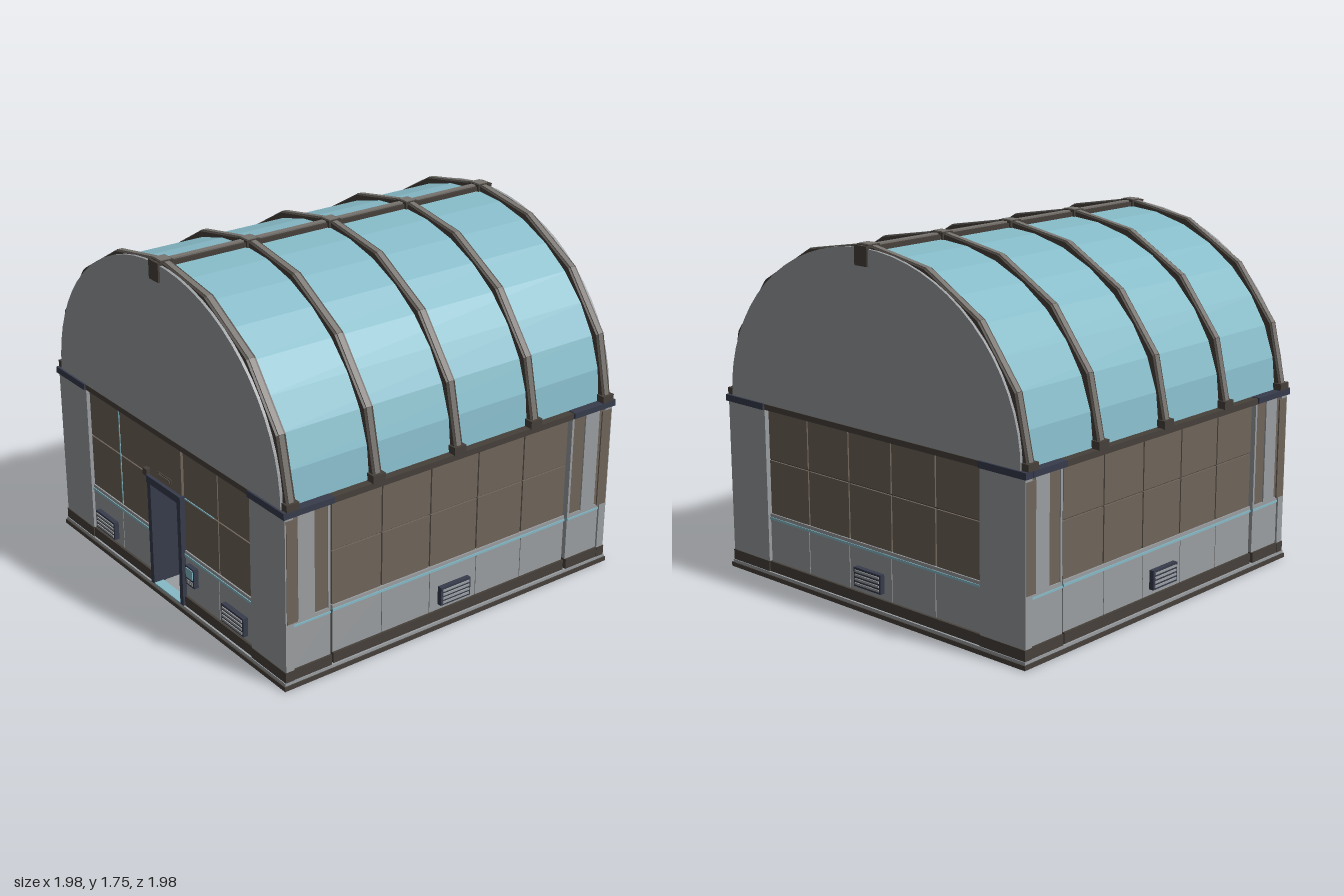
import * as THREE from 'three';

const mat = (name, color) => {
  const m = new THREE.MeshStandardMaterial({ color });
  m.name = name;
  return m;
};

export function createModel() {
  const root = new THREE.Group();
  root.name = 'greenhouse';
  const grey = mat('wall grey', 0x9b9ea1);
  const brown = mat('window brown', 0x6f645a);
  const dark = mat('frame dark brown', 0x46403a);
  const navy = mat('trim navy', 0x373c4c);
  const under = mat('underside navy', 0x2b303a);
  const cyan = mat('glass cyan', 0x86bbc8);
  const steel = mat('rib steel', 0x77736f);
  cyan.side = THREE.DoubleSide;

  // Box from its limits on each axis
  const box = (parent, name, m, x0, x1, y0, y1, z0, z1) => {
    const mesh = new THREE.Mesh(new THREE.BoxGeometry(Math.abs(x1 - x0), y1 - y0, Math.abs(z1 - z0)), m);
    mesh.position.set((x0 + x1) / 2, (y0 + y1) / 2, (z0 + z1) / 2);
    mesh.name = name;
    parent.add(mesh);
    return mesh;
  };
  const group = (name, parent = root) => {
    const g = new THREE.Group();
    g.name = name;
    parent.add(g);
    return g;
  };

  // Base and floor
  box(root, 'baseSlab', under, -0.98, 0.98, 0, 0.02, -0.98, 0.98);
  for (const s of [-1, 1]) {
    box(root, 'baseEdge', dark, -0.988, 0.988, 0.002, 0.024, s * 0.96, s * 0.988);
    box(root, 'baseEdge', dark, s * 0.96, s * 0.988, 0.002, 0.024, -0.96, 0.96);
  }
  box(root, 'floor', grey, -0.982, 0.982, 0.02, 0.038, -0.982, 0.982);

  // Louvred vent on a wall that faces local +z
  const vent = (g, x) => {
    box(g, 'vent', navy, x - 0.09, x + 0.09, 0.12, 0.215, 0.95, 0.985);
    for (let i = 0; i < 4; i++) {
      const y = 0.131 + i * 0.021;
      box(g, 'ventSlat', grey, x - 0.08, x + 0.08, y, y + 0.01, 0.98, 0.99);
    }
  };

  // One wall in local coordinates, facing +z
  const wall = (name, angle, edges, vents) => {
    const g = group(name);
    g.rotation.y = angle;
    for (const [a, b] of edges) {
      const e = 0.002;
      box(g, 'skirt', dark, a, b, 0.038, 0.09, 0.93, 0.972);
      box(g, 'lowerCore', dark, a, b, 0.09, 0.31, 0.93, 0.955);
      box(g, 'lowerPanel', grey, a + e, b - e, 0.09, 0.305, 0.95, 0.96);
      box(g, 'cyanStrip', cyan, a, b, 0.305, 0.317, 0.93, 0.966);
      box(g, 'sill', grey, a, b, 0.317, 0.334, 0.93, 0.962);
      box(g, 'windowCore', dark, a, b, 0.334, 0.865, 0.93, 0.945);
      box(g, 'windowPane', brown, a + 0.004, b - 0.004, 0.334, 0.604, 0.94, 0.955);
      box(g, 'windowPane', brown, a + 0.004, b - 0.004, 0.612, 0.865, 0.94, 0.955);
    }
    for (const x of vents) vent(g, x);
    return g;
  };
  const five = [0, 1, 2, 3, 4].map(i => [-0.708 + i * 0.2832, -0.708 + (i + 1) * 0.2832]);
  const front = wall('frontWall', 0, [[-0.715, -0.43], [-0.43, -0.14], [0.14, 0.43], [0.43, 0.715]], [-0.57, 0.57]);
  wall('leftWall', Math.PI / 2, five, [0]);
  wall('backWall', Math.PI, five, [0]);
  wall('rightWall', -Math.PI / 2, five, [0]);
  box(root, 'backLining', grey, -0.4, 0.4, 0.038, 0.7, -0.92, -0.91);

  // Cyan glazing bars on the front
  box(front, 'glazingBar', cyan, -0.434, -0.427, 0.335, 0.86, 0.95, 0.958);
  box(front, 'glazingBar', cyan, 0.15, 0.39, 0.604, 0.611, 0.95, 0.958);
  box(front, 'glazingBar', cyan, 0.704, 0.711, 0.61, 0.82, 0.95, 0.958);

  // Doorway with an open leaf
  const door = group('doorway');
  for (const s of [-1, 1]) box(door, 'doorPost', navy, s * 0.117, s * 0.145, 0.038, 0.62, 0.92, 0.982);
  box(door, 'doorLintel', navy, -0.15, 0.15, 0.582, 0.62, 0.92, 0.984);
  box(door, 'doorLeaf', navy, -0.135, -0.118, 0.04, 0.58, 0.73, 0.93);
  box(door, 'headerPanel', brown, -0.14, 0.14, 0.62, 0.87, 0.93, 0.966);
  box(door, 'headerPlate', dark, -0.058, 0.058, 0.648, 0.67, 0.96, 0.974);
  box(door, 'headerPlateFace', brown, -0.053, 0.053, 0.652, 0.666, 0.97, 0.977);
  box(door, 'lamp', dark, -0.185, -0.15, 0.61, 0.645, 0.95, 0.98);
  box(door, 'threshold', cyan, -0.117, 0.117, 0.038, 0.044, 0.93, 0.982);

  // Control box beside the door
  const panel = group('controlBox');
  box(panel, 'controlCase', navy, 0.178, 0.252, 0.18, 0.28, 0.95, 0.985);
  box(panel, 'controlScreen', cyan, 0.187, 0.243, 0.222, 0.272, 0.98, 0.989);
  for (let i = 0; i < 3; i++)
    box(panel, 'controlKey', grey, 0.188 + i * 0.02, 0.202 + i * 0.02, 0.19, 0.21, 0.98, 0.988);

  // Corner pillars
  for (const sx of [-1, 1]) for (const sz of [-1, 1]) {
    const g = group('cornerPillar');
    const b = (n, m, x0, x1, y0, y1, z0, z1) => box(g, n, m, sx * x0, sx * x1, y0, y1, sz * z0, sz * z1);
    b('pillarFace', grey, 0.71, 0.978, 0.09, 0.865, 0.93, 0.974);
    b('pillarSkirt', dark, 0.71, 0.98, 0.038, 0.09, 0.93, 0.978);
    b('sideSkirt', dark, 0.93, 0.978, 0.038, 0.09, 0.722, 0.93);
    b('sideLower', grey, 0.93, 0.968, 0.09, 0.305, 0.722, 0.93);
    b('sideStrip', cyan, 0.93, 0.972, 0.305, 0.315, 0.722, 0.93);
    b('sideSill', grey, 0.93, 0.968, 0.315, 0.334, 0.722, 0.93);
    b('sideWindow', brown, 0.93, 0.962, 0.334, 0.865, 0.735, 0.93);
    b('sideEdge', grey, 0.93, 0.968, 0.334, 0.865, 0.722, 0.735);
    b('sideStripe', grey, 0.955, 0.97, 0.334, 0.865, 0.81, 0.9);
    b('cornerWindow', brown, 0.974, 0.981, 0.334, 0.845, 0.91, 0.968);
    b('pillarCap', navy, 0.71, 0.988, 0.86, 0.892, 0.94, 0.985);
    b('sideCap', navy, 0.94, 0.99, 0.862, 0.891, 0.715, 0.94);
  }

  // Top rails
  for (const s of [-1, 1]) {
    box(root, 'endRail', dark, -0.71, 0.71, 0.86, 0.888, s * 0.925, s * 0.975);
    box(root, 'sideRail', dark, s * 0.925, s * 0.982, 0.858, 0.888, -0.97, 0.97);
  }

  // Arched roof
  const springY = 0.89;
  const arc = (rx, ry, n) => Array.from({ length: n + 1 }, (_, i) => {
    const t = Math.PI * i / n;
    return new THREE.Vector2(rx * Math.cos(t), springY + ry * Math.sin(t));
  });
  const roof = group('roof');
  const pane = arc(0.945, 0.825, 16);
  const pos = [];
  for (let i = 0; i < 16; i++) {
    const p = pane[i], q = pane[i + 1], z = 0.965;
    pos.push(p.x, p.y, z, p.x, p.y, -z, q.x, q.y, -z, p.x, p.y, z, q.x, q.y, -z, q.x, q.y, z);
  }
  const glassGeo = new THREE.BufferGeometry();
  glassGeo.setAttribute('position', new THREE.Float32BufferAttribute(pos, 3));
  glassGeo.computeVertexNormals();
  const glass = new THREE.Mesh(glassGeo, cyan);
  glass.name = 'roofGlass';
  roof.add(glass);

  // End walls under the arch
  const gable = new THREE.ExtrudeGeometry(new THREE.Shape(arc(0.95, 0.84, 32)), { depth: 0.014, bevelEnabled: false });
  for (const z of [0.961, -0.975]) {
    const m = new THREE.Mesh(gable, grey);
    m.position.z = z;
    m.name = 'endWall';
    roof.add(m);
  }

  // Segmented ribs with steel outer strips, feet and ridge joints
  const ribPath = arc(0.958, 0.835, 8);
  const beam = (g, name, m, p, q, z, thick, width, lift) => {
    const d = q.clone().sub(p);
    const mesh = new THREE.Mesh(new THREE.BoxGeometry(d.length() + 0.008, thick, width), m);
    const n = new THREE.Vector2(d.y, -d.x).normalize().multiplyScalar(lift);
    mesh.position.set((p.x + q.x) / 2 + n.x, (p.y + q.y) / 2 + n.y, z);
    mesh.rotation.z = Math.atan2(d.y, d.x);
    mesh.name = name;
    g.add(mesh);
  };
  for (const z of [-0.935, -0.468, 0, 0.468, 0.935]) {
    const g = group('rib', roof);
    for (let i = 0; i < 8; i++) {
      beam(g, 'ribBeam', dark, ribPath[i], ribPath[i + 1], z, 0.036, 0.05, 0);
      beam(g, 'ribStrip', steel, ribPath[i], ribPath[i + 1], z, 0.014, 0.026, 0.017);
    }
    for (const s of [-1, 1]) box(g, 'ribFoot', dark, s * 0.93, s * 0.988, 0.885, 0.925, z - 0.034, z + 0.034);
    box(g, 'ridgeJoint', dark, -0.038, 0.038, 1.69, 1.746, z - 0.036, z + 0.036);
    box(g, 'ridgeJointTop', steel, -0.03, 0.03, 1.744, 1.75, z - 0.028, z + 0.028);
  }
  box(roof, 'ridgeBeam', dark, -0.028, 0.028, 1.705, 1.735, -0.975, 0.975);
  box(roof, 'ridgeStrip', steel, -0.015, 0.015, 1.73, 1.742, -0.975, 0.975);
  for (const s of [-1, 1]) box(roof, 'ridgeEnd', dark, -0.04, 0.04, 1.65, 1.742, s * 0.955, s * 0.985);

  return root;
}
